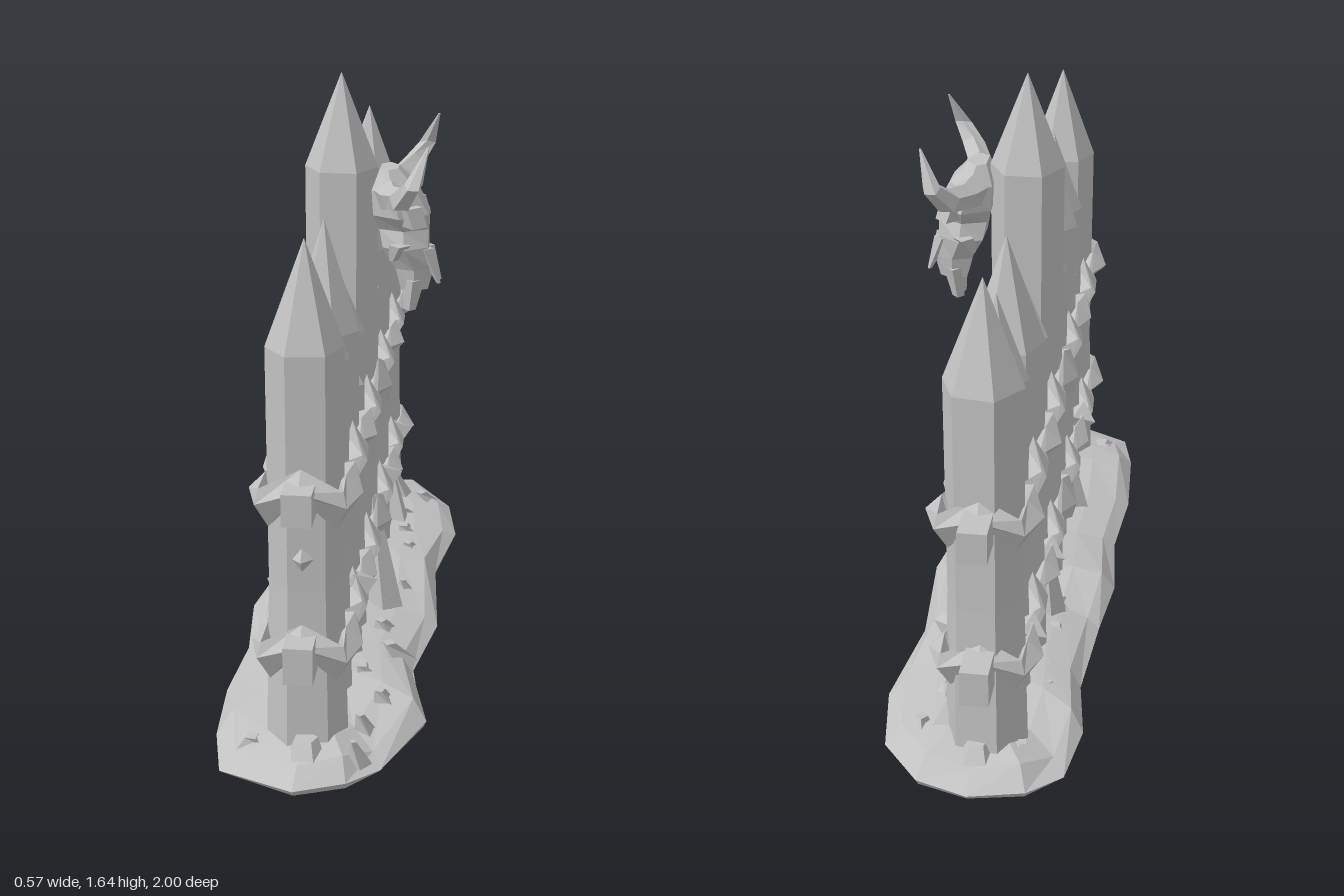
import * as THREE from 'three';

const grey = new THREE.MeshStandardMaterial({ color: 0xc2c2c2, flatShading: true });
grey.name = 'weathered grey';
const CX = -0.02; // line of the fence

// Faceted skin over a list of equal-sized rings of [x, y, z]; faces are turned outwards.
function loft(rings, closed = false) {
  const pos = [], n = rings[0].length, m = rings.length;
  const tri = (a, b, c) => pos.push(...a, ...b, ...c);
  for (let i = 0; i < (closed ? m : m - 1); i++) {
    const a = rings[i], b = rings[(i + 1) % m];
    for (let j = 0; j < n; j++) {
      const k = (j + 1) % n;
      tri(a[j], b[j], b[k]);
      tri(a[j], b[k], a[k]);
    }
  }
  if (!closed) for (let j = 1; j < n - 1; j++) {
    tri(rings[0][0], rings[0][j], rings[0][j + 1]);
    tri(rings[m - 1][0], rings[m - 1][j + 1], rings[m - 1][j]);
  }
  let volume = 0;
  const p = (i) => new THREE.Vector3().fromArray(pos, i);
  for (let i = 0; i < pos.length; i += 9) volume += p(i).dot(p(i + 3).cross(p(i + 6)));
  if (volume < 0) for (let i = 0; i < pos.length; i += 9) {
    for (let c = 0; c < 3; c++) [pos[i + 3 + c], pos[i + 6 + c]] = [pos[i + 6 + c], pos[i + 3 + c]];
  }
  const g = new THREE.BufferGeometry();
  g.setAttribute('position', new THREE.Float32BufferAttribute(pos, 3));
  g.computeVertexNormals();
  return g;
}

function add(parent, name, geometry) {
  const mesh = new THREE.Mesh(geometry, grey);
  mesh.name = name;
  parent.add(mesh);
  return mesh;
}

// Horizontal polygon ring
function ring(x, y, z, r, sides, turn = 0) {
  return Array.from({ length: sides }, (_, i) => {
    const a = turn + (i / sides) * Math.PI * 2;
    return [x + Math.cos(a) * r, y, z + Math.sin(a) * r];
  });
}

// z at foot, z at top, half width, shoulder height, tip height
const STAKES = [
  [0.765, 0.765, 0.085, 1.12, 1.39], [0.55, 0.56, 0.075, 1.02, 1.255],
  [0.345, 0.385, 0.082, 1.04, 1.335], [0.19, 0.2, 0.076, 0.97, 1.18],
  [-0.015, -0.015, 0.088, 1.38, 1.64], [-0.195, -0.22, 0.076, 0.97, 1.175],
  [-0.395, -0.4, 0.088, 1.04, 1.335], [-0.585, -0.575, 0.073, 1.02, 1.255],
  [-0.78, -0.775, 0.092, 1.11, 1.39],
];

function addStakes(parent) {
  STAKES.forEach(([z0, z1, w, shoulder, tip], i) => {
    const r = w / 0.866, turn = (i % 3 - 1) * 0.13;
    add(parent, 'stake', loft([
      ring(CX, 0.03, z0, r * 1.08, 6, turn),
      ring(CX, 0.5, (z0 + z1) / 2, r * 0.97, 6, turn),
      ring(CX, shoulder, z1, r, 6, turn),
      ring(CX, tip, z1, 0.001, 6, turn),
    ]));
  });
}

// Rail with a twisted binding looped round the whole fence
function addRail(parent, y, height) {
  const rail = add(parent, 'rail', new THREE.BoxGeometry(0.075, height, 1.92));
  rail.position.set(CX, y + 0.015, -0.015);
  const path = []; // x, y, z, half height, outward direction
  for (const s of [1, -1]) {
    const row = s > 0 ? STAKES : [...STAKES].reverse();
    row.forEach(([z0, z1, w], i) => {
      const z = z0 + (z1 - z0) * y, out = w / 0.866 + 0.018;
      path.push([CX + s * out, y + (i % 2 ? -0.02 : 0.012), z, i === 4 ? 0.065 : 0.03, s, 0]);
      if (i < 8) {
        const zn = row[i + 1][0];
        path.push([CX + s * 0.1, y + (i % 2 ? 0.015 : -0.015), z * 0.62 + zn * 0.38, 0.06, s, 0]);
        path.push([CX + s * 0.085, y - 0.01, z * 0.4 + zn * 0.6, 0.026, s, 0]);
      }
    });
    path.push([CX + s * 0.095, y - 0.02, -s * 0.85, 0.055, s * 0.7, -s * 0.7]);
    path.push([CX, y + 0.06, -s * 0.875, 0.03, 0, -s]);
    path.push([CX - s * 0.095, y - 0.02, -s * 0.85, 0.055, -s * 0.7, -s * 0.7]);
  }
  add(parent, 'railBinding', loft(path.map(([x, py, z, h, ox, oz], i) => {
    const t = 0.028, lean = (i % 2 ? 1 : -1) * 0.015;
    return [[x + ox * t, py + lean, z + oz * t], [x + ox * lean, py + h, z + oz * lean],
      [x - ox * t, py - lean, z - oz * t], [x - ox * lean, py - h, z - oz * lean]];
  }), true));
}

function addMound(parent) {
  const outline = [[0, -1], [-0.15, -0.97], [-0.24, -0.88], [-0.27, -0.7], [-0.24, -0.5], [-0.26, -0.2],
    [-0.285, 0], [-0.26, 0.25], [-0.28, 0.5], [-0.265, 0.75], [-0.23, 0.91], [-0.03, 1],
    [0.1, 0.95], [0.18, 0.86], [0.28, 0.62], [0.22, 0.35], [0.27, 0.05], [0.24, -0.3], [0.285, -0.6], [0.25, -0.82], [0.14, -0.96]];
  const level = (sx, sz, y, bump) => outline.map(([x, z], i) => [x * sx, y + bump * Math.sin(i * 2.3), z * sz]);
  add(parent, 'earthMound', loft([
    level(0.97, 0.985, 0, 0), level(1, 1, 0.018, 0.006), level(0.86, 0.94, 0.055, 0.02),
    level(0.55, 0.86, 0.075, 0.014), level(0.1, 0.75, 0.085, 0.005),
  ]));
}

// Broken stones and splinters at the foot of the fence
function addStones(parent) {
  for (let i = 0; i < 26; i++) {
    const s = i % 2 ? 1 : -1, z = -0.86 + i * 0.069;
    const x = s * (0.14 + 0.035 * Math.sin(i * 1.9)), r = 0.05 + 0.018 * Math.sin(i * 2.7);
    add(parent, 'stone', loft([
      ring(x, 0.03, z, r, 4, i), ring(x - s * 0.015, 0.085 + 0.025 * Math.sin(i * 3.1), z + 0.02, r * 0.3, 4, i + 0.5),
    ]));
  }
  for (const s of [1, -1]) {
    add(parent, 'endStone', loft([ring(-0.01, 0.03, s * 0.9, 0.06, 5, s), ring(-0.01, 0.1, s * 0.87, 0.03, 5, s)]));
  }
  // leaning wedges: foot x, foot z, top x, top y, top z, size
  [[0.115, 0.03, 0.07, 0.4, -0.01, 0.055], [0.1, -0.78, 0.06, 0.18, -0.75, 0.05],
    [-0.13, 0.4, -0.1, 0.28, 0.36, 0.04], [-0.12, -0.2, -0.1, 0.3, -0.2, 0.045],
    [0.1, -0.58, 0.07, 0.24, -0.6, 0.045]].forEach(([x, z, tx, ty, tz, r], i) =>
    add(parent, 'splinterWedge', loft([ring(x, 0.04, z, r, 4, i), ring(tx, ty, tz, 0.012, 4, i)])));
}

// Small chips of split wood
function addChips(parent) {
  add(parent, 'endChip', loft([ring(CX, 0.545, 0.82, 0.02, 4), ring(CX, 0.59, 0.8, 0.075, 4), ring(CX, 0.63, 0.79, 0.05, 4)]));
  for (const x of [0.062, -0.102]) {
    add(parent, 'woodChip', loft([ring(x, 0.885, 0.383, 0.022, 3), ring(x, 0.925, 0.383, 0.003, 3)]));
  }
  // knots on the lower binding
  for (const [z, y] of [[-0.69, 0.33], [0.47, 0.34], [-0.31, 0.33]]) for (const s of [1, -1]) {
    const knot = add(parent, 'bindingKnot', new THREE.OctahedronGeometry(0.055));
    knot.position.set(CX + s * 0.1, y, z);
    knot.rotation.set(0.5, 0.3 * s, 0.2);
  }
}

function addSkull(parent) {
  const skull = new THREE.Group();
  skull.name = 'hornedSkull';
  skull.position.z = -0.005;
  parent.add(skull);
  // y, back x, front x, half width: pinched at the eye sockets
  const sections = [[1.385, 0.09, 0.14, 0.05], [1.33, 0.07, 0.19, 0.1], [1.26, 0.075, 0.225, 0.1],
    [1.215, 0.09, 0.225, 0.058], [1.165, 0.1, 0.225, 0.075], [1.1, 0.135, 0.24, 0.045], [1.04, 0.15, 0.225, 0.036]];
  add(skull, 'cranium', loft(sections.map(([y, b, f, w]) => {
    const mid = (b + f) / 2;
    return [[b, y, w * 0.6], [mid, y, w], [f, y, w * 0.4], [f, y, -w * 0.4], [mid, y, -w], [b, y, -w * 0.6]];
  })));
  for (const s of [1, -1]) {
    // horn: x, y, z, radius
    const horn = [[0.12, 1.315, 0.05, 0.05], [0.135, 1.325, 0.13, 0.036], [0.165, 1.345, 0.215, 0.034],
      [0.2, 1.395, 0.255, 0.025], [0.235, 1.49, 0.215, 0.003]];
    add(skull, 'horn', loft(horn.map(([x, y, z, r], i) => {
      const a = [0, 0.1, 0.5, 1.1, 1.6][i];
      return Array.from({ length: 5 }, (_, j) => {
        const t = (j / 5) * Math.PI * 2, u = Math.cos(t) * r;
        return [x + Math.sin(t) * r, y + u * Math.cos(a), s * (z - u * Math.sin(a))];
      });
    })));
    add(skull, 'brow', loft([ring(0.19, 1.235, s * 0.075, 0.035, 4), ring(0.17, 1.29, s * 0.07, 0.04, 4)]));
    add(skull, 'cheekbone', loft([ring(0.13, 1.13, s * 0.05, 0.012, 4), ring(0.15, 1.18, s * 0.07, 0.03, 4)]));
    add(skull, 'noseBone', loft([ring(0.255, 1.06, s * 0.02, 0.006, 4), ring(0.215, 1.16, s * 0.018, 0.025, 4)]));
    add(skull, 'jawTip', loft([ring(0.175, 0.98, s * 0.018, 0.017, 4), ring(0.185, 1.07, s * 0.02, 0.032, 4)]));
  }
}

export function createModel() {
  const model = new THREE.Group();
  model.name = 'palisade';
  addMound(model);
  addStones(model);
  addStakes(model);
  addRail(model, 0.745, 0.085);
  addRail(model, 0.325, 0.1);
  addChips(model);
  addSkull(model);
  return model;
}
